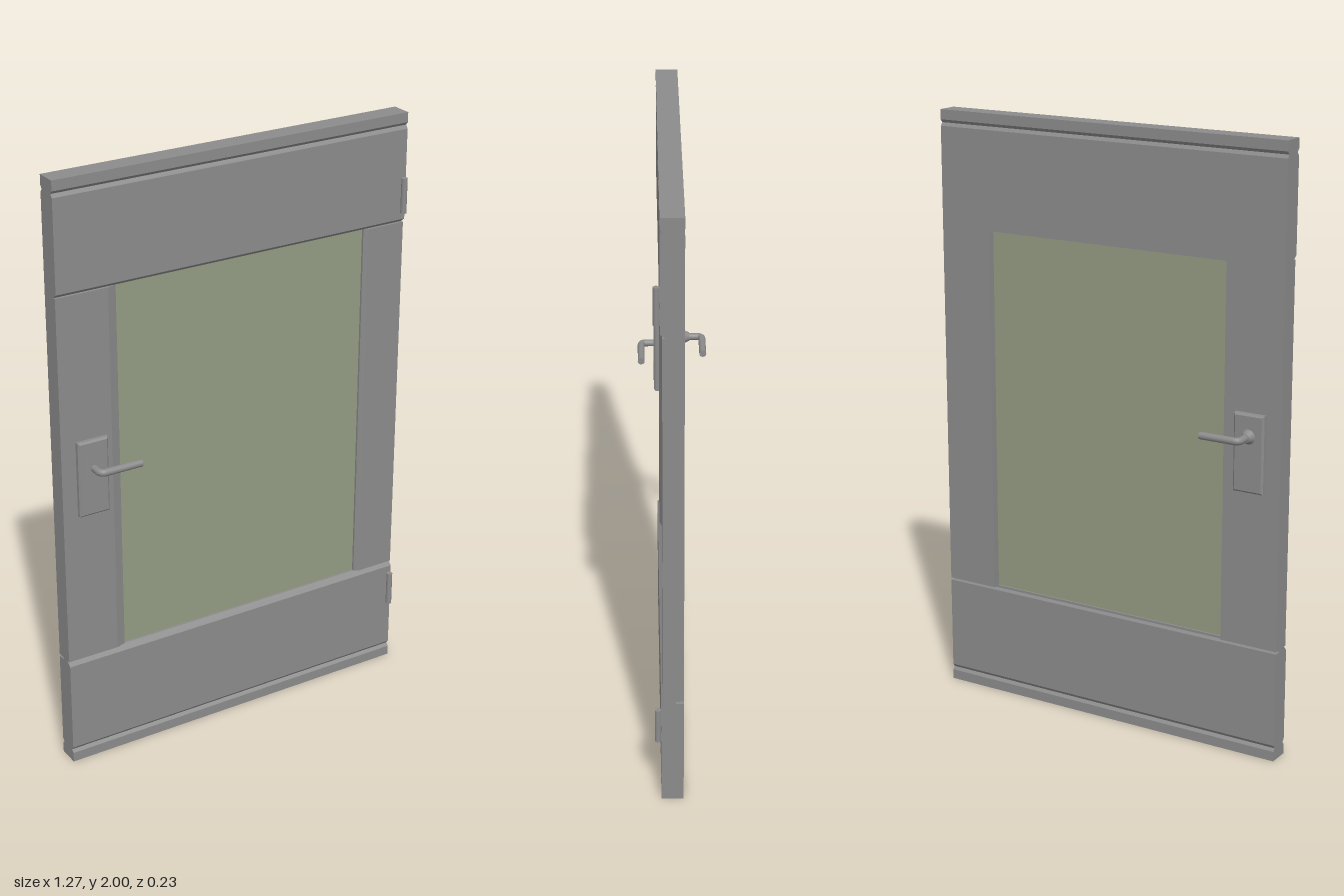
import * as THREE from 'three';

const grey = new THREE.MeshStandardMaterial({ color: 0x8c8b8b });
grey.name = 'paintedGrey';
const glass = new THREE.MeshStandardMaterial({ color: 0x939b82 });
glass.name = 'paleGreenGlass';

const BACK = -0.025, FRONT = 0.046, MID = 0.04, HALF = 0.634;
const BOTTOM = 0.378, TOP = 1.632; // ends of the stiles

function add(parent, name, geometry, material = grey) {
  const mesh = new THREE.Mesh(geometry, material);
  mesh.name = name;
  parent.add(mesh);
  return mesh;
}

const toShape = (points) => new THREE.Shape(points.map(([x, y]) => new THREE.Vector2(x, y)));

// Rail: [z, y] profile swept across the whole width
function railGeometry(profile) {
  const g = new THREE.ExtrudeGeometry(toShape(profile), { depth: HALF * 2, bevelEnabled: false });
  return g.rotateY(-Math.PI / 2).translate(HALF, 0, 0);
}

// Stile: [x, z] profile swept upwards
function stileGeometry(profile) {
  const shape = toShape(profile.map(([x, z]) => [x, -z]));
  const g = new THREE.ExtrudeGeometry(shape, { depth: TOP - BOTTOM, bevelEnabled: false });
  return g.rotateX(-Math.PI / 2).translate(0, BOTTOM, 0);
}

// Handle set, built facing +z from the plate's foot
function handleSet(name, { plateDepth, reach, leverY, tipX, collar }) {
  const set = new THREE.Group();
  set.name = name;
  const w = 0.053, y0 = 0.895, y1 = 1.15, bevel = 0.006;
  const outline = toShape([
    [-w + bevel, y0 + bevel], [w - bevel, y0 + bevel], [w - bevel, y1 - bevel], [-w + bevel, y1 - bevel],
  ]);
  const plate = new THREE.ExtrudeGeometry(outline, {
    depth: plateDepth - bevel, bevelThickness: bevel, bevelSize: bevel, bevelSegments: 1,
  });
  add(set, 'plate', plate);

  if (collar) {
    const cone = new THREE.CylinderGeometry(0.014, 0.024, 0.02, 20).rotateX(Math.PI / 2);
    add(set, 'collar', cone).position.set(0, leverY, plateDepth + 0.01);
  }

  // Neck and lever follow one rounded bend
  const r = 0.012, bend = 0.018, dir = Math.sign(tipX);
  const path = new THREE.CurvePath();
  const a = new THREE.Vector3(0, leverY, 0);
  const b = new THREE.Vector3(0, leverY, reach - bend);
  const corner = new THREE.Vector3(0, leverY, reach);
  const c = new THREE.Vector3(dir * bend, leverY, reach);
  const tip = new THREE.Vector3(tipX, leverY, reach);
  path.add(new THREE.LineCurve3(a, b));
  path.add(new THREE.QuadraticBezierCurve3(b, corner, c));
  path.add(new THREE.LineCurve3(c, tip));
  add(set, 'lever', new THREE.TubeGeometry(path, 60, r, 14));
  const end = add(set, 'leverTip', new THREE.CircleGeometry(r, 14).rotateY(dir * Math.PI / 2));
  end.position.copy(tip);
  return set;
}

export function createModel() {
  const door = new THREE.Group();
  door.name = 'glazedDoor';

  // Rails with a V groove near the outer end and a chamfer beside the stiles
  add(door, 'bottomRail', railGeometry([
    [BACK, 0], [FRONT, 0], [FRONT, 0.033], [0.037, 0.043], [FRONT, 0.054],
    [FRONT, 0.362], [0.03, BOTTOM], [0, BOTTOM], [0, 0.37], [BACK, 0.37],
    [BACK, 0.054], [-0.017, 0.043], [BACK, 0.033],
  ]));
  add(door, 'topRail', railGeometry([
    [BACK, 1.617], [0, 1.617], [0, TOP], [0.03, TOP], [FRONT, 1.645],
    [FRONT, 1.946], [0.037, 1.957], [FRONT, 1.967], [FRONT, 2], [BACK, 2],
    [BACK, 1.967], [-0.017, 1.957], [BACK, 1.946],
  ]));

  // Stiles with a chamfered front edge
  add(door, 'rightStile', stileGeometry([
    [-HALF, BACK], [-HALF, MID], [-0.455, MID], [-0.424, 0.03], [-0.424, 0],
    [-0.433, 0], [-0.433, BACK],
  ]));
  add(door, 'leftStile', stileGeometry([
    [HALF, BACK], [0.45, BACK], [0.45, 0], [0.485, 0], [0.485, 0.03], [0.498, MID], [HALF, MID],
  ]));

  // Glass pane
  add(door, 'glassPane', new THREE.BoxGeometry(0.95, 1.28, 0.016), glass)
    .position.set(0.03, 1.005, 0.014);

  // Hinge knuckles on the left edge
  for (const [name, y] of [['lowerHinge', 0.28], ['upperHinge', 1.728]]) {
    const hinge = new THREE.Group();
    hinge.name = name;
    add(hinge, 'knuckle', new THREE.CylinderGeometry(0.01, 0.01, 0.118, 14)).position.set(0.622, y, 0.056);
    add(hinge, 'leaf', new THREE.BoxGeometry(0.01, 0.118, 0.014)).position.set(0.622, y, 0.045);
    door.add(hinge);
  }

  // Handles on both faces
  const front = handleSet('frontHandle', { plateDepth: 0.018, reach: 0.061, leverY: 1.055, tipX: 0.143, collar: false });
  front.position.set(-0.53, 0, MID);
  const back = handleSet('backHandle', { plateDepth: 0.02, reach: 0.083, leverY: 1.078, tipX: -0.135, collar: true });
  back.position.set(-0.53, 0, BACK);
  back.rotation.y = Math.PI;
  door.add(front, back);

  return door;
}
